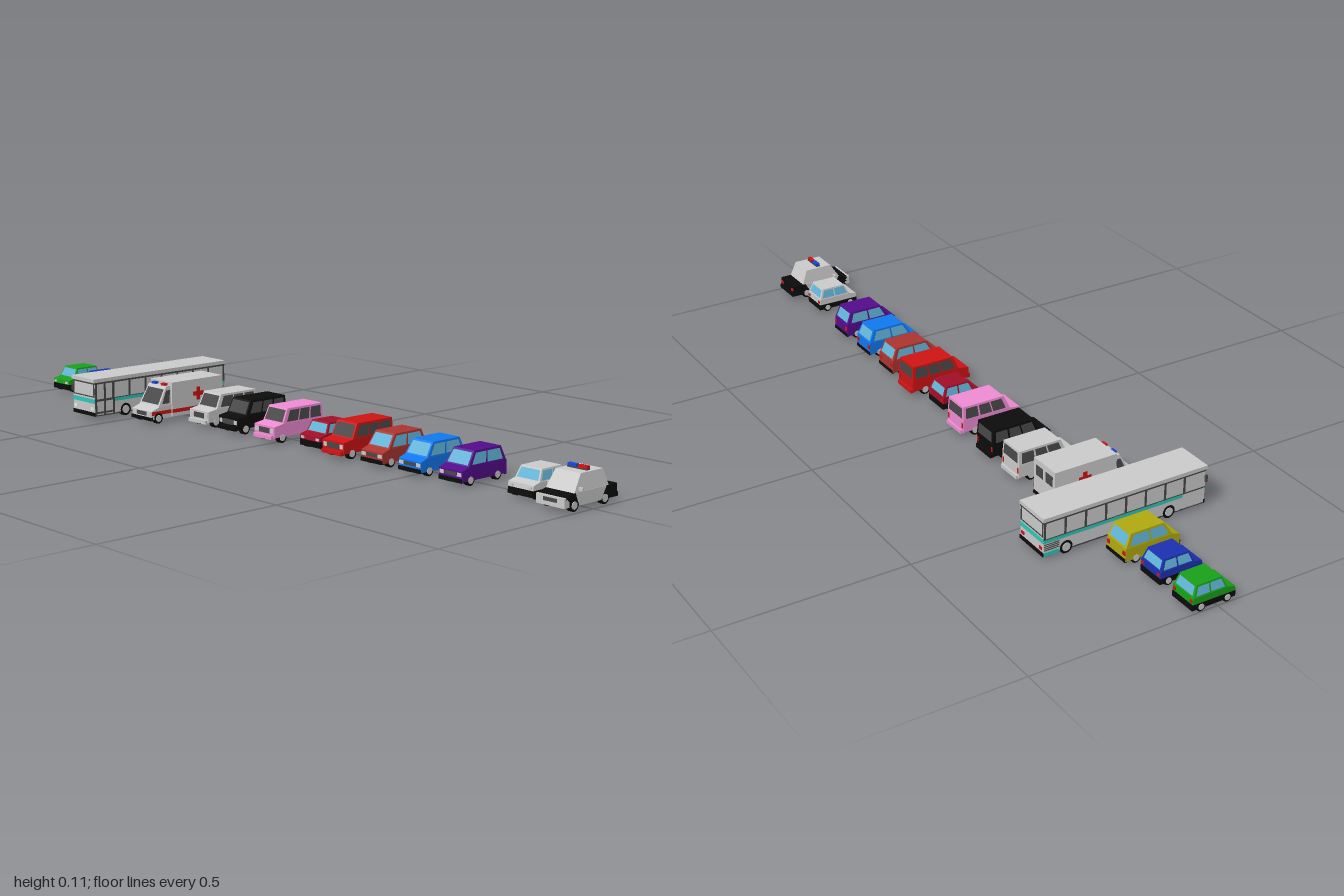
import * as THREE from 'three';

const GREY = 0xcccccc, DARK = 0x484848, BLACK = 0x0c0c0c, GLASS = 0x62b4d8, RED = 0xd01414, TEAL = 0x30c8b8;
const cache = {};
const mat = (color) => (cache[color] ??= new THREE.MeshStandardMaterial({ color, flatShading: true }));
const thin = (color) => (cache['t' + color] ??= new THREE.MeshStandardMaterial({ color, side: THREE.DoubleSide }));

function add(parent, name, geometry, material) {
  const mesh = new THREE.Mesh(geometry, material);
  mesh.name = name;
  parent.add(mesh);
  return mesh;
}

// Box given by its extents
function block(parent, name, color, x0, x1, y0, y1, z0, z1) {
  const m = add(parent, name, new THREE.BoxGeometry(x1 - x0, y1 - y0, z1 - z0), mat(color));
  m.position.set((x0 + x1) / 2, (y0 + y1) / 2, (z0 + z1) / 2);
  return m;
}

// Same box on both sides
function pair(parent, name, color, x0, x1, y0, y1, z0, z1) {
  block(parent, name, color, x0, x1, y0, y1, z0, z1);
  block(parent, name, color, -x1, -x0, y0, y1, z0, z1);
}

// Side outline [z, y] extruded across the width
function hull(parent, name, color, width, points) {
  const shape = new THREE.Shape(points.map(([z, y]) => new THREE.Vector2(-z, y)));
  const g = new THREE.ExtrudeGeometry(shape, { depth: width, bevelEnabled: false });
  g.translate(0, 0, -width / 2).rotateY(Math.PI / 2);
  return add(parent, name, g, mat(color));
}

// Tapered cabin: box whose corners follow the front, rear and side slopes
function cabin(parent, color, c) {
  const g = new THREE.BoxGeometry(2, 1, 1);
  const p = g.attributes.position;
  for (let i = 0; i < p.count; i++) {
    const t = p.getY(i) + 0.5;
    p.setXYZ(i, p.getX(i) * (c.w0 + (c.w1 - c.w0) * t), c.y0 + (c.y1 - c.y0) * t,
      p.getZ(i) > 0 ? c.f0 + (c.f1 - c.f0) * t : c.r0 + (c.r1 - c.r0) * t);
  }
  g.computeVertexNormals();
  add(parent, 'cabin', g, mat(color));
}

// Glass pane lying just outside a cabin face; u runs across it, v up it
function pane(parent, c, face, color, u0, u1, v0, v1) {
  const e = 0.0008, pos = [];
  for (const [u, v] of [[u0, v0], [u1, v0], [u1, v1], [u0, v1]]) {
    const w = c.w0 + (c.w1 - c.w0) * v, f = c.f0 + (c.f1 - c.f0) * v, r = c.r0 + (c.r1 - c.r0) * v;
    const y = c.y0 + (c.y1 - c.y0) * v;
    if (face === 'front') pos.push(w * (2 * u - 1), y, f + e);
    else if (face === 'rear') pos.push(w * (1 - 2 * u), y, r - e);
    else if (face === 'left') pos.push(w + e, y, f + (r - f) * u);
    else pos.push(-w - e, y, f + (r - f) * u);
  }
  const g = new THREE.BufferGeometry();
  g.setAttribute('position', new THREE.Float32BufferAttribute(pos, 3));
  g.setIndex(face === 'right' ? [0, 2, 1, 0, 3, 2] : [0, 1, 2, 0, 2, 3]);
  g.computeVertexNormals();
  add(parent, face + 'Window', g, thin(color));
}

// Front, rear and split side glazing
function glaze(parent, c, color, splits) {
  pane(parent, c, 'front', color, 0.06, 0.94, 0.08, 0.88);
  pane(parent, c, 'rear', color, 0.08, 0.92, 0.12, 0.86);
  for (const face of ['left', 'right'])
    for (const [a, b] of splits) pane(parent, c, face, color, a, b, 0.1, 0.86);
}

function wheels(parent, half, r, zs) {
  for (const z of zs) for (const s of [-1, 1]) {
    const tyre = add(parent, 'tyre', new THREE.CylinderGeometry(r, r, 0.012, 16).rotateZ(Math.PI / 2), mat(BLACK));
    tyre.position.set(s * (half - 0.005), r, z);
    const hub = add(parent, 'hub', new THREE.CylinderGeometry(r * 0.65, r * 0.65, 0.002, 12).rotateZ(Math.PI / 2), mat(GREY));
    hub.position.set(s * (half + 0.0015), r, z);
  }
}

function smallCar(color) {
  const g = new THREE.Group();
  hull(g, 'sill', BLACK, 0.074, [[0.05, 0.008], [0.05, 0.024], [-0.07, 0.024], [-0.07, 0.008]]);
  hull(g, 'body', color, 0.076, [[0.049, 0.024], [0.047, 0.036], [0.025, 0.041], [-0.068, 0.041], [-0.069, 0.024]]);
  const c = { w0: 0.037, w1: 0.031, y0: 0.041, y1: 0.069, f0: 0.026, f1: 0.012, r0: -0.067, r1: -0.056 };
  cabin(g, color, c);
  glaze(g, c, GLASS, [[0.06, 0.48], [0.53, 0.94]]);
  pair(g, 'headlight', GREY, 0.022, 0.033, 0.026, 0.032, 0.045, 0.0505);
  pair(g, 'tailLight', RED, 0.026, 0.035, 0.028, 0.035, -0.0705, -0.067);
  wheels(g, 0.036, 0.012, [0.028, -0.045]);
  return g;
}

function hatchback(color) {
  const g = new THREE.Group();
  hull(g, 'body', color, 0.075, [[0.069, 0.012], [0.069, 0.038], [0.045, 0.046], [-0.084, 0.046], [-0.085, 0.012]]);
  const c = { w0: 0.037, w1: 0.033, y0: 0.046, y1: 0.081, f0: 0.047, f1: 0.024, r0: -0.083, r1: -0.068 };
  cabin(g, color, c);
  glaze(g, c, GLASS, [[0.07, 0.45], [0.49, 0.92]]);
  block(g, 'frontBumper', BLACK, -0.037, 0.037, 0.01, 0.02, 0.064, 0.0715);
  block(g, 'rearBumper', BLACK, -0.037, 0.037, 0.01, 0.019, -0.0865, -0.08);
  block(g, 'grille', DARK, -0.018, 0.018, 0.025, 0.034, 0.065, 0.07);
  pair(g, 'headlight', GREY, 0.021, 0.035, 0.025, 0.034, 0.065, 0.0705);
  pair(g, 'tailLight', RED, 0.026, 0.036, 0.028, 0.038, -0.0862, -0.08);
  wheels(g, 0.036, 0.0135, [0.04, -0.054]);
  return g;
}

function offRoader(color) {
  const g = new THREE.Group();
  hull(g, 'body', color, 0.078, [[0.076, 0.016], [0.076, 0.045], [0.045, 0.05], [-0.095, 0.05], [-0.095, 0.016]]);
  const c = { w0: 0.039, w1: 0.036, y0: 0.05, y1: 0.088, f0: 0.046, f1: 0.028, r0: -0.095, r1: -0.093 };
  cabin(g, color, c);
  glaze(g, c, DARK, [[0.08, 0.35], [0.38, 0.63], [0.67, 0.94]]);
  block(g, 'frontBumper', color === BLACK ? BLACK : color, -0.035, 0.035, 0.012, 0.022, 0.07, 0.084);
  block(g, 'rearBumper', color, -0.035, 0.035, 0.012, 0.022, -0.101, -0.09);
  block(g, 'grille', DARK, -0.02, 0.02, 0.026, 0.04, 0.072, 0.077);
  pair(g, 'headlight', GREY, 0.023, 0.035, 0.028, 0.039, 0.072, 0.0775);
  pair(g, 'tailLight', RED, 0.031, 0.037, 0.028, 0.042, -0.096, -0.09);
  wheels(g, 0.037, 0.0145, [0.048, -0.058]);
  return g;
}

function patrolCar() {
  const g = new THREE.Group();
  hull(g, 'body', BLACK, 0.082, [[0.08, 0.012], [0.08, 0.036], [0.05, 0.043], [-0.096, 0.043], [-0.098, 0.012]]);
  const c = { w0: 0.041, w1: 0.036, y0: 0.042, y1: 0.083, f0: 0.054, f1: 0.028, r0: -0.066, r1: -0.05 };
  cabin(g, GREY, c);
  // Pale door section between the wheels
  hull(g, 'doors', GREY, 0.0835, [[0.05, 0.043], [0.036, 0.012], [-0.04, 0.012], [-0.058, 0.043]]);
  block(g, 'frontBumper', GREY, -0.041, 0.041, 0.012, 0.035, 0.07, 0.087);
  block(g, 'grille', DARK, -0.02, 0.02, 0.022, 0.031, 0.08, 0.0875);
  block(g, 'rearBumper', BLACK, -0.041, 0.041, 0.012, 0.022, -0.101, -0.095);
  pair(g, 'tailLight', RED, 0.026, 0.038, 0.027, 0.035, -0.0985, -0.09);
  pair(g, 'mirror', GREY, 0.039, 0.051, 0.046, 0.053, 0.033, 0.039);
  block(g, 'beaconBase', DARK, -0.028, 0.028, 0.083, 0.086, -0.014, -0.002);
  block(g, 'redBeacon', RED, 0.003, 0.028, 0.086, 0.093, -0.013, -0.003);
  block(g, 'blueBeacon', 0x1848d8, -0.028, -0.003, 0.086, 0.093, -0.013, -0.003);
  wheels(g, 0.04, 0.0145, [0.053, -0.054]);
  return g;
}

function ambulance() {
  const g = new THREE.Group();
  block(g, 'rearBox', GREY, -0.046, 0.046, 0.014, 0.108, -0.093, 0.086);
  hull(g, 'nose', GREY, 0.084, [[0.155, 0.012], [0.155, 0.035], [0.129, 0.044], [0.086, 0.044], [0.086, 0.012]]);
  const c = { w0: 0.042, w1: 0.038, y0: 0.044, y1: 0.098, f0: 0.13, f1: 0.1, r0: 0.084, r1: 0.084 };
  cabin(g, GREY, c);
  pane(g, c, 'front', DARK, 0.06, 0.94, 0.12, 0.85);
  for (const face of ['left', 'right']) pane(g, c, face, DARK, 0.2, 0.8, 0.15, 0.8);
  // Stripes, crosses, lamps and rear doors
  pair(g, 'boxStripe', RED, 0.045, 0.0466, 0.024, 0.034, -0.093, 0.086);
  pair(g, 'noseStripe', RED, 0.041, 0.0426, 0.024, 0.034, 0.086, 0.153);
  pair(g, 'crossUpright', RED, 0.045, 0.0468, 0.05, 0.086, -0.012, 0);
  pair(g, 'crossBar', RED, 0.045, 0.0467, 0.062, 0.074, -0.024, 0.012);
  block(g, 'redBeacon', RED, 0.012, 0.028, 0.097, 0.104, 0.087, 0.098);
  block(g, 'blueBeacon', 0x1848d8, -0.028, -0.012, 0.097, 0.104, 0.087, 0.098);
  pair(g, 'rearWindow', DARK, 0.006, 0.036, 0.064, 0.092, -0.0938, -0.09);
  block(g, 'rearBumper', BLACK, -0.044, 0.044, 0.01, 0.018, -0.096, -0.088);
  block(g, 'frontBumper', BLACK, -0.042, 0.042, 0.01, 0.019, 0.15, 0.158);
  block(g, 'grille', DARK, -0.02, 0.02, 0.022, 0.033, 0.15, 0.156);
  pair(g, 'headlight', GREY, 0.024, 0.038, 0.023, 0.033, 0.15, 0.157);
  wheels(g, 0.042, 0.0145, [0.131, -0.045]);
  return g;
}

function bus() {
  const g = new THREE.Group();
  block(g, 'body', GREY, -0.049, 0.049, 0.012, 0.1, -0.232, 0.23);
  block(g, 'underside', DARK, -0.049, 0.049, 0.009, 0.013, -0.232, 0.23);
  block(g, 'roof', GREY, -0.051, 0.051, 0.103, 0.113, -0.234, 0.234);
  block(g, 'roofSeam', DARK, -0.0498, 0.0498, 0.098, 0.104, -0.233, 0.231);
  // Window frames along both sides
  pair(g, 'windowRail', DARK, 0.048, 0.05, 0.053, 0.056, -0.232, 0.23);
  for (let i = 0; i < 8; i++) {
    const z = 0.168 - i * 0.0567;
    pair(g, 'pillar', DARK, 0.048, 0.05, 0.055, 0.1, z - 0.003, z + 0.003);
  }
  pair(g, 'stripe', TEAL, 0.048, 0.0501, 0.045, 0.054, -0.232, 0.163);
  pair(g, 'lowStripe', TEAL, 0.048, 0.0502, 0.01, 0.02, -0.232, -0.188);
  for (let i = 0; i < 4; i++) pair(g, 'vent', DARK, 0.048, 0.0502, 0.025 + i * 0.005, 0.027 + i * 0.005, -0.23, -0.188);
  // Front door, frames only on the left
  for (const z of [0.166, 0.196, 0.226]) block(g, 'doorPost', DARK, 0.048, 0.0503, 0.012, 0.1, z - 0.003, z + 0.003);
  for (const y of [0.016, 0.05]) block(g, 'doorRail', DARK, 0.048, 0.0503, y, y + 0.005, 0.166, 0.226);
  // Front and rear faces
  for (const s of [-1, 1]) {
    const end = s > 0 ? 0.23 : -0.232;
    const face = (name, color, w, y0, y1, d) => block(g, name, color, -w, w, y0, y1, end - d, end + d);
    face('endStripe', TEAL, 0.0495, 0.045, 0.057, 0.001);
    face('windowRailEnd', DARK, 0.046, 0.062, 0.065, 0.0012);
    face('bumper', BLACK, 0.0495, 0.01, 0.02, 0.002);
    pair(g, 'endPost', DARK, 0.044, 0.047, 0.062, 0.1, end - 0.0012, end + 0.0012);
    pair(g, s > 0 ? 'headlight' : 'tailLight', s > 0 ? 0xf2f2e0 : RED, 0.032, 0.044, 0.026, 0.034, end - 0.0015, end + 0.0015);
  }
  pair(g, 'mirror', DARK, 0.049, 0.055, 0.07, 0.088, 0.228, 0.233);
  wheels(g, 0.0485, 0.0175, [0.125, -0.169]);
  return g;
}

export function createModel() {
  const root = new THREE.Group();
  // Vehicles in order along the row
  const row = [
    ['greenSmallCar', smallCar(0x18a018), -0.961], ['navySmallCar', smallCar(0x1c30b0), -0.84],
    ['yellowHatchback', hatchback(0xb0aa10), -0.727], ['bus', bus(), -0.597],
    ['ambulance', ambulance(), -0.436], ['greyOffRoader', offRoader(GREY), -0.287],
    ['blackOffRoader', offRoader(BLACK), -0.166], ['pinkOffRoader', offRoader(0xf08cd4), -0.021],
    ['crimsonSmallCar', smallCar(0xa00e26), 0.123], ['redOffRoader', offRoader(RED), 0.238],
    ['brownHatchback', hatchback(0xac3430), 0.368], ['blueHatchback', hatchback(0x1078f0), 0.497],
    ['purpleHatchback', hatchback(0x540c8c), 0.63], ['greySmallCar', smallCar(GREY), 0.828],
    ['patrolCar', patrolCar(), 0.948],
  ];
  for (const [name, car, x] of row) {
    car.name = name;
    car.position.x = x;
    root.add(car);
  }
  return root;
}
